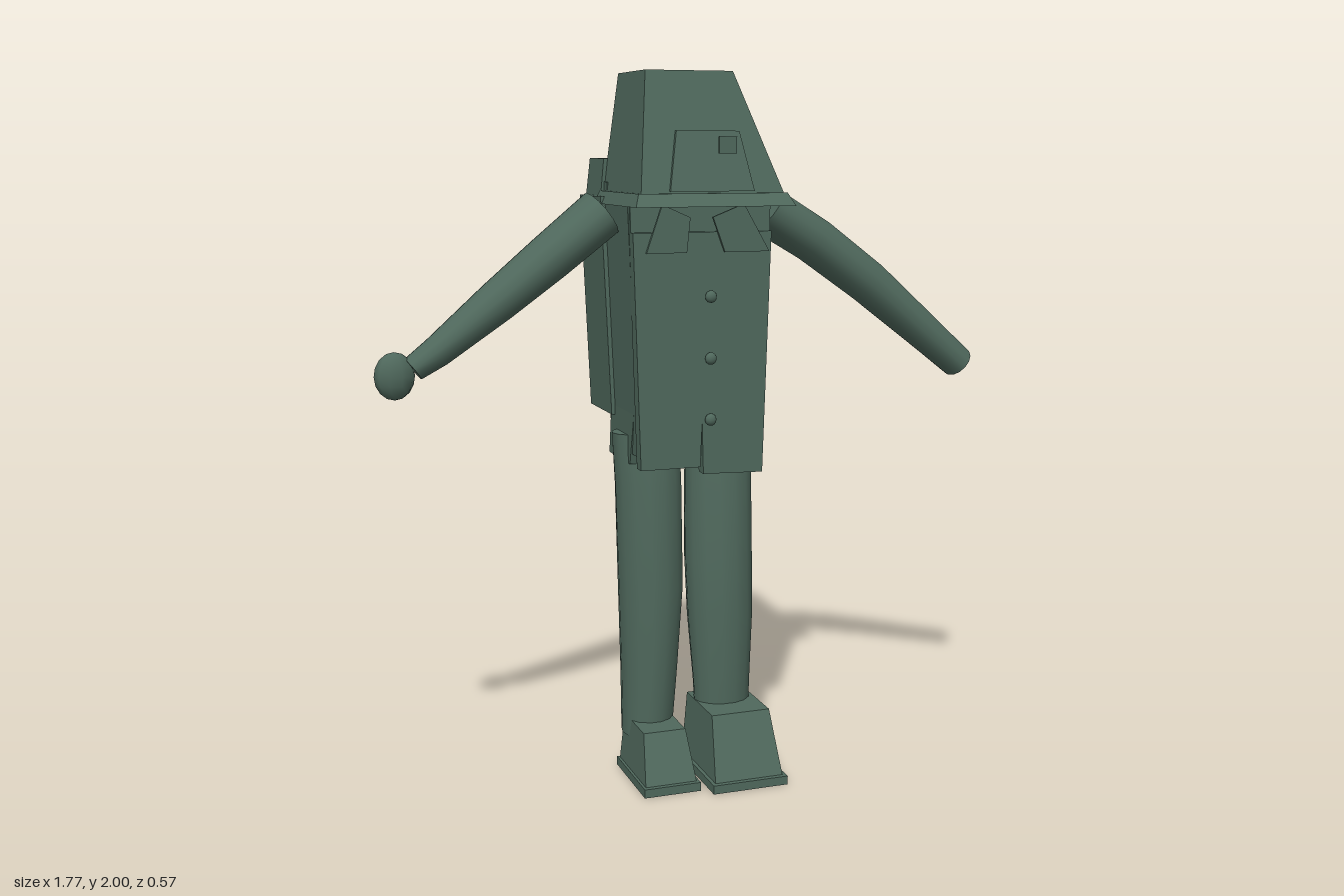
import * as THREE from 'three';

const cloth = new THREE.MeshStandardMaterial({ color: 0x4f685c });
cloth.name = 'dull green';

function mesh(name, geometry) {
  const m = new THREE.Mesh(geometry, cloth);
  m.name = name;
  return m;
}

// Box with separate bottom and top rectangles [x0, x1, z0, z1]
function taperedBox(name, y0, y1, bottom, top = bottom) {
  const g = new THREE.BoxGeometry(1, 1, 1);
  const p = g.attributes.position;
  for (let i = 0; i < p.count; i++) {
    const r = p.getY(i) > 0 ? top : bottom;
    p.setXYZ(i, p.getX(i) < 0 ? r[0] : r[1], p.getY(i) > 0 ? y1 : y0, p.getZ(i) < 0 ? r[2] : r[3]);
  }
  g.computeVertexNormals();
  return mesh(name, g);
}

// Flat outline pushed out from z0 to z0 + depth
function plate(name, points, z0, depth) {
  const shape = new THREE.Shape(points.map(([x, y]) => new THREE.Vector2(x, y)));
  const g = new THREE.ExtrudeGeometry(shape, { depth, bevelEnabled: false });
  return mesh(name, g.translate(0, 0, z0));
}

// Closed limb through oval rings [x, y, z, radius across, radius in z], listed from low to high
function limb(name, rings, sides = 14) {
  const first = new THREE.Vector3(...rings[0].slice(0, 3));
  const last = new THREE.Vector3(...rings[rings.length - 1].slice(0, 3));
  const dir = last.clone().sub(first).setZ(0).normalize();
  const pos = [], index = [];
  const addRing = ([x, y, z, ru, rv]) => {
    const start = pos.length / 3;
    for (let i = 0; i < sides; i++) {
      const a = (i / sides) * Math.PI * 2;
      const u = Math.cos(a) * ru;
      pos.push(x + dir.y * u, y - dir.x * u, z + Math.sin(a) * rv);
    }
    return start;
  };
  const starts = rings.map(addRing);
  for (let r = 0; r < rings.length - 1; r++) {
    for (let i = 0; i < sides; i++) {
      const j = (i + 1) % sides;
      const a = starts[r] + i, b = starts[r] + j, c = starts[r + 1] + i, d = starts[r + 1] + j;
      index.push(a, c, b, b, c, d);
    }
  }
  // end caps
  const low = addRing(rings[0]), high = addRing(rings[rings.length - 1]);
  for (let i = 1; i < sides - 1; i++) {
    index.push(low, low + i, low + i + 1, high, high + i + 1, high + i);
  }
  const g = new THREE.BufferGeometry();
  g.setAttribute('position', new THREE.Float32BufferAttribute(pos, 3));
  g.setIndex(index);
  g.computeVertexNormals();
  return mesh(name, g);
}

export function createModel() {
  const model = new THREE.Group();
  model.name = 'figure';

  // Head, brim, face and nose
  const head = new THREE.Group();
  head.name = 'head';
  head.add(
    taperedBox('headBlock', 1.67, 2.0, [-0.2, 0.21, -0.14, 0.215], [-0.16, 0.09, -0.115, 0.13]),
    taperedBox('brim', 1.64, 1.675, [-0.225, 0.23, -0.145, 0.25], [-0.21, 0.215, -0.14, 0.225]),
    taperedBox('facePlate', 1.68, 1.84, [-0.12, 0.12, 0.18, 0.222], [-0.09, 0.09, 0.14, 0.182]),
    taperedBox('nose', 1.78, 1.825, [0.012, 0.062, 0.228, 0.238]),
  );
  model.add(head);

  // Torso and hips
  model.add(
    taperedBox('torso', 0.95, 1.65, [-0.185, 0.17, -0.12, 0.14], [-0.215, 0.195, -0.13, 0.14]),
    taperedBox('hips', 0.92, 1.11, [-0.19, 0.17, -0.13, 0.07], [-0.19, 0.17, -0.1, 0.12]),
  );

  // Coat front with a short slit between its tails
  model.add(
    plate('coatFront', [
      [-0.19, 0.92], [-0.017, 0.92], [-0.012, 1.05], [-0.008, 0.9], [0.168, 0.895],
      [0.19, 1.57], [-0.21, 1.57],
    ], 0.135, 0.038),
    taperedBox('collar', 1.57, 1.645, [-0.21, 0.195, 0.1, 0.15]),
  );

  // Bow tie
  model.add(
    plate('bowRight', [[-0.175, 1.515], [-0.06, 1.515], [-0.05, 1.61], [-0.13, 1.645]], 0.174, 0.009),
    plate('bowLeft', [[0.05, 1.515], [0.18, 1.515], [0.105, 1.645], [0.015, 1.61]], 0.174, 0.009),
  );

  // Buttons
  for (const y of [1.055, 1.225, 1.395]) {
    const button = mesh('button', new THREE.SphereGeometry(0.017, 10, 8));
    button.position.set(0.008, y, 0.187);
    button.scale.z = 0.8;
    model.add(button);
  }

  // Backpack with flap and side panels
  const pack = new THREE.Group();
  pack.name = 'backpack';
  pack.add(
    taperedBox('packBody', 1.04, 1.7, [-0.18, 0.165, -0.275, -0.1], [-0.2, 0.185, -0.275, -0.1]),
    taperedBox('packFlap', 1.66, 1.765, [-0.21, 0.195, -0.28, -0.13], [-0.2, 0.185, -0.272, -0.13]),
    taperedBox('rightPanel', 1.04, 1.66, [-0.2, -0.175, -0.285, -0.07], [-0.228, -0.2, -0.285, -0.07]),
    taperedBox('leftPanel', 1.04, 1.66, [0.16, 0.185, -0.285, -0.07], [0.18, 0.205, -0.285, -0.07]),
  );
  model.add(pack);

  // Legs
  model.add(
    limb('leftLeg', [
      [0.095, 0.1, 0.05, 0.08, 0.065], [0.093, 0.25, 0.05, 0.085, 0.072], [0.093, 0.45, 0.035, 0.097, 0.09],
      [0.092, 0.62, 0.024, 0.1, 0.095], [0.095, 0.85, 0.01, 0.1, 0.085], [0.1, 1.0, 0, 0.1, 0.073],
    ]),
    limb('rightLeg', [
      [-0.125, 0.11, 0.01, 0.073, 0.085], [-0.118, 0.3, 0.01, 0.082, 0.092], [-0.112, 0.55, 0.01, 0.094, 0.1],
      [-0.116, 0.85, 0.005, 0.097, 0.09], [-0.121, 1.0, 0, 0.1, 0.075],
    ]),
  );

  // Shoes
  model.add(
    taperedBox('leftShoe', 0.02, 0.2, [-0.005, 0.2, -0.018, 0.272], [0.01, 0.185, -0.015, 0.2]),
    taperedBox('leftSole', 0, 0.025, [-0.015, 0.21, -0.025, 0.285]),
    taperedBox('rightShoe', 0.02, 0.16, [-0.2, -0.048, -0.015, 0.235], [-0.185, -0.06, -0.012, 0.17]),
    taperedBox('rightSole', 0, 0.025, [-0.207, -0.04, -0.02, 0.247]),
  );

  // Arms
  model.add(
    limb('leftArm', [
      [0.85, 1.16, 0.042, 0.047, 0.064], [0.76, 1.235, 0.041, 0.052, 0.064], [0.55, 1.41, 0.03, 0.064, 0.075],
      [0.38, 1.535, 0.018, 0.068, 0.086], [0.235, 1.622, 0.012, 0.07, 0.088],
    ]),
    limb('rightArm', [
      [-0.785, 1.212, 0.035, 0.035, 0.05], [-0.72, 1.255, 0.034, 0.043, 0.056], [-0.55, 1.385, 0.026, 0.058, 0.074],
      [-0.4, 1.5, 0.016, 0.066, 0.084], [-0.25, 1.618, 0.01, 0.07, 0.087],
    ]),
  );

  // Round hand on the right arm
  const hand = mesh('rightHand', new THREE.SphereGeometry(1, 10, 8));
  hand.scale.set(0.055, 0.065, 0.037);
  hand.position.set(-0.835, 1.195, 0.036);
  model.add(hand);

  return model;
}
